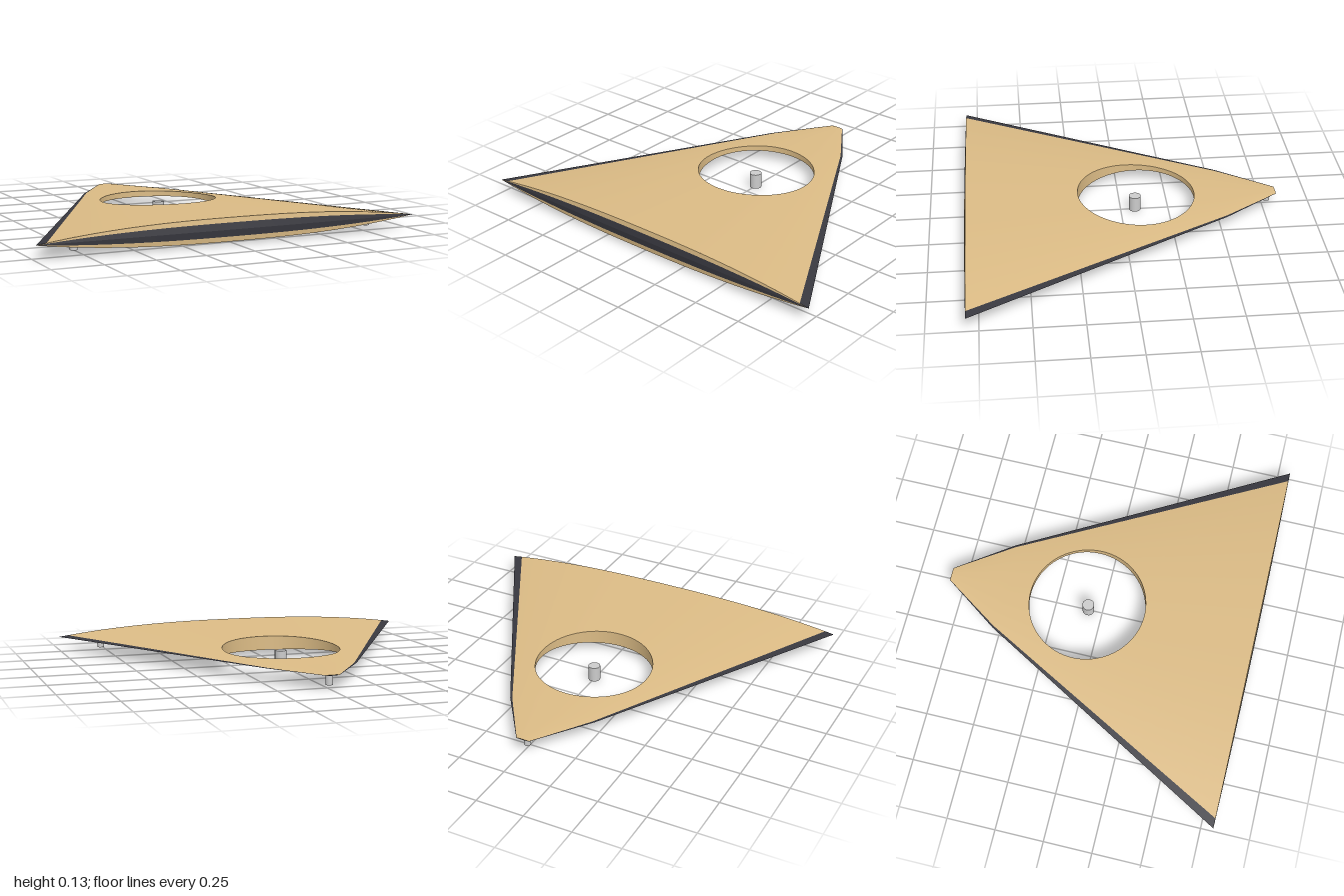
import * as THREE from 'three';

const MID = 0.073, HOLE_Z = -0.08, HOLE_R = 0.306, FRONT = 0.81, BACK = -0.82, KNEE = -0.53, BAND = 0.95;
const material = (color) => new THREE.MeshStandardMaterial({ color, side: THREE.DoubleSide });
const tan = material(0xdbbb85), dark = material(0x38383f), grey = material(0xcccccc);
const { lerp } = THREE.MathUtils;

// half span of the plan shape at depth z
const span = (z) => z > KNEE
  ? lerp(0.24, 1, (z - KNEE) / (FRONT - KNEE))
  : lerp(0.035, 0.24, (z - BACK) / (KNEE - BACK));

// half thickness of the lens section, thinning to the back and to both edges
function thickness(x, z) {
  const centre = z > KNEE ? 0.0104 + (z - KNEE) * 0.0355 : lerp(0.002, 0.0104, (z - BACK) / (KNEE - BACK));
  return centre * (1 - Math.min(1, Math.abs(x) / span(z)) ** 2.5);
}

// grid surface through fn(i, j), which returns [x, y, z]
function surface(name, mat, nu, nv, fn, flip = false) {
  const pos = [], index = [];
  for (let i = 0; i <= nu; i++) for (let j = 0; j <= nv; j++) pos.push(...fn(i, j));
  for (let i = 0; i < nu; i++) for (let j = 0; j < nv; j++) {
    const a = i * (nv + 1) + j, b = a + nv + 1;
    if (flip) index.push(a, a + 1, b, b, a + 1, b + 1);
    else index.push(a, b, a + 1, b, b + 1, a + 1);
  }
  const geo = new THREE.BufferGeometry();
  geo.setAttribute('position', new THREE.Float32BufferAttribute(pos, 3));
  geo.setIndex(index);
  geo.computeVertexNormals();
  const mesh = new THREE.Mesh(geo, mat);
  mesh.name = name;
  return mesh;
}

// closed ring of points round the plan, inside the dark edge bands
function outline() {
  const half = [[0, BACK, 2], [0.035 * BAND, BACK, 14], [0.24 * BAND, KNEE, 48], [BAND, FRONT, 28], [0, FRONT, 0]];
  const pts = [];
  half.slice(0, -1).forEach(([x, z, n], k) => {
    const [x2, z2] = half[k + 1];
    for (let i = 0; i < n; i++) pts.push([lerp(x, x2, i / n), lerp(z, z2, i / n)]);
  });
  pts.push([0, FRONT]);
  return [...pts, ...pts.slice(0, -1).reverse().map(([x, z]) => [-x, z])];
}

function peg(name, x, z, r, y0, y1) {
  const mesh = new THREE.Mesh(new THREE.CylinderGeometry(r, r, y1 - y0, 16), grey);
  mesh.position.set(x, (y0 + y1) / 2, z);
  mesh.name = name;
  return mesh;
}

export function createModel() {
  const group = new THREE.Group();
  group.name = 'wing';
  const ring = outline(), n = ring.length - 1, rings = 14;

  // ring point i moved out from the hole's rim (t = 0) to the plan outline (t = 1)
  const plan = (i, t) => {
    const [x, z] = ring[i], d = Math.hypot(x, z - HOLE_Z);
    const f = lerp(HOLE_R / d, 1, t);
    return [x * f, HOLE_Z + (z - HOLE_Z) * f];
  };

  // upper and lower skins
  for (const s of [1, -1]) {
    group.add(surface(s > 0 ? 'upperSkin' : 'lowerSkin', tan, n, rings, (i, j) => {
      const [x, z] = plan(i, j / rings);
      return [x, MID + s * thickness(x, z), z];
    }, s < 0));
  }

  // wall of the round opening
  group.add(surface('openingWall', tan, n, 1, (i, j) => {
    const [x, z] = plan(i, 0);
    return [x, MID + (j ? 1 : -1) * thickness(x, z), z];
  }));

  // dark bands along both side edges, bent at the knee
  const depths = [];
  for (let i = 0; i <= 12; i++) depths.push(lerp(BACK, KNEE, i / 12));
  for (let i = 1; i <= 30; i++) depths.push(lerp(KNEE, FRONT, i / 30));
  for (const side of [1, -1]) for (const s of [1, -1]) {
    group.add(surface(side > 0 ? 'leftEdgeBand' : 'rightEdgeBand', dark, depths.length - 1, 1, (i, j) => {
      const z = depths[i], x = side * span(z) * (j ? 1 : BAND);
      return [x, MID + s * thickness(x, z), z];
    }, side * s < 0));
  }

  // front face: dark wedge between two tan lips
  const frontStrip = (name, mat, k0, k1) => group.add(surface(name, mat, 48, 1, (i, j) => {
    const x = lerp(-1, 1, i / 48), k = j ? k1 : k0;
    return [x, MID + k * thickness(x, FRONT), FRONT + 0.008 * (1 - Math.abs(k)) * (1 - x * x)];
  }));
  frontStrip('frontLowerLip', tan, -1, -0.58);
  frontStrip('frontLowerBand', dark, -0.58, 0);
  frontStrip('frontUpperBand', dark, 0, 0.58);
  frontStrip('frontUpperLip', tan, 0.58, 1);

  // small end face at the tail
  group.add(surface('tailEnd', dark, 8, 1, (i, j) => {
    const x = lerp(0.035, -0.035, i / 8);
    return [x, MID + (j ? 1 : -1) * thickness(x, BACK), BACK];
  }));

  // pegs: one in the opening, three feet below
  group.add(peg('centrePeg', 0, -0.075, 0.031, 0, 0.08));
  group.add(peg('tailFoot', 0, -0.775, 0.018, 0.02, 0.073));
  for (const side of [1, -1]) group.add(peg(side > 0 ? 'leftFoot' : 'rightFoot', side * 0.785, 0.715, 0.018, 0.02, 0.06));

  return group;
}
